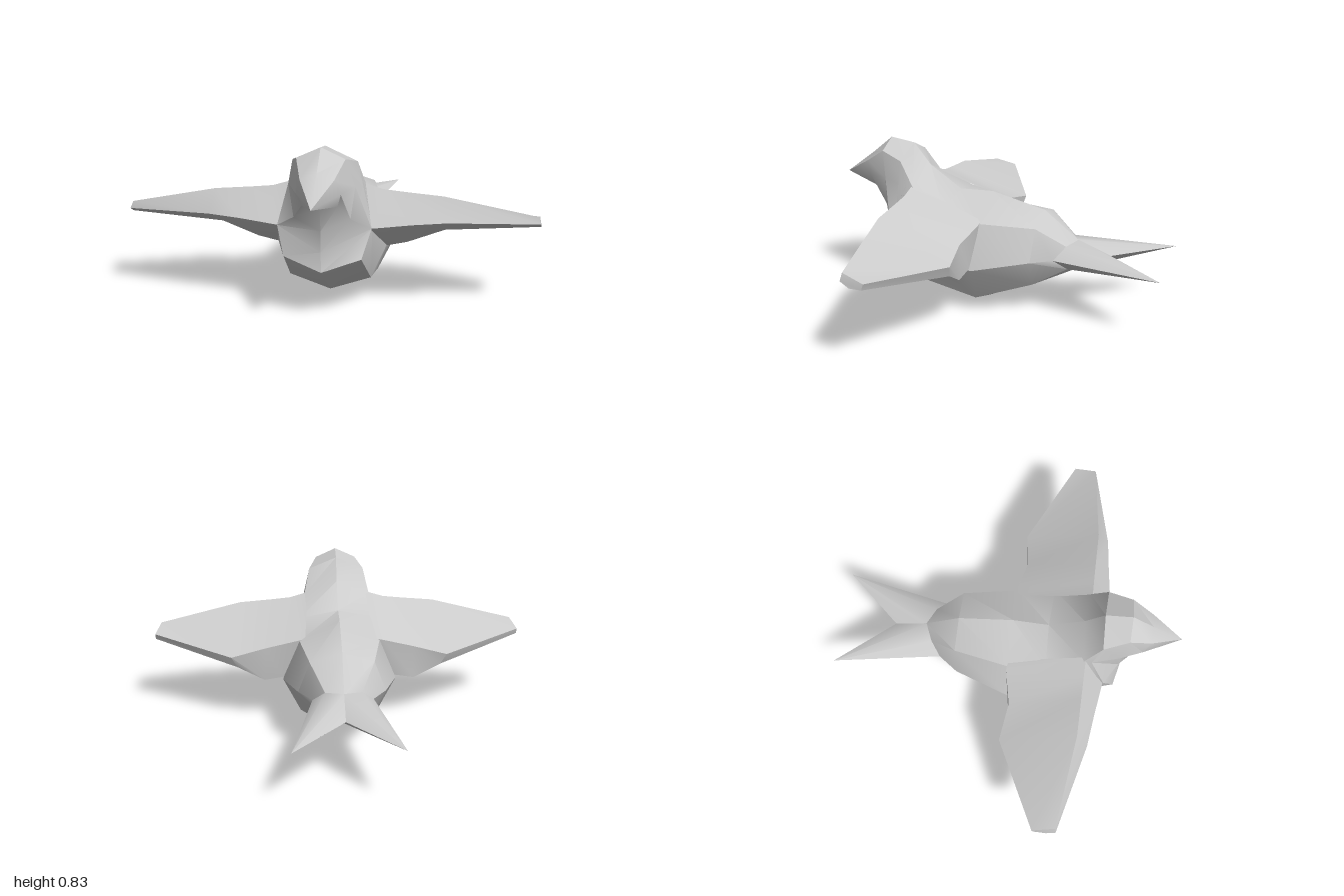
import * as THREE from 'three';
import { toCreasedNormals } from 'three/addons/utils/BufferGeometryUtils.js';

// Skin a list of rings; each ring runs counterclockwise seen from the first one
function loft(rings, capEnd = false) {
  const pos = [];
  const vec = (p) => new THREE.Vector3(...p);
  const tri = (a, b, c) => {
    const n = vec(b).sub(vec(a)).cross(vec(c).sub(vec(a)));
    if (n.length() > 1e-7) pos.push(...a, ...b, ...c);
  };
  for (let i = 0; i < rings.length - 1; i++) {
    const A = rings[i], B = rings[i + 1];
    for (let j = 0; j < A.length; j++) {
      const k = (j + 1) % A.length;
      tri(A[j], B[j], A[k]);
      tri(A[k], B[j], B[k]);
    }
  }
  if (capEnd) {
    const E = rings[rings.length - 1];
    for (let j = 1; j < E.length - 1; j++) tri(E[0], E[j + 1], E[j]);
  }
  const g = new THREE.BufferGeometry();
  g.setAttribute('position', new THREE.Float32BufferAttribute(pos, 3));
  return toCreasedNormals(g, 0.62);
}

const flip = ([x, y, z]) => [-x, y, z];
const mirrorRing = (ring) => ring.map(flip).reverse();

// Half sections of the body: keel, low, side, upper, ridge
const tip = [0, 0.62, 0.88];
const bodyHalves = [
  [tip, tip, tip, tip, tip],
  [[0, 0.56, 0.65], [0.08, 0.575, 0.655], [0.1, 0.64, 0.69], [0.075, 0.71, 0.72], [0, 0.74, 0.72]],
  [[0, 0.45, 0.63], [0.13, 0.5, 0.59], [0.15, 0.65, 0.58], [0.11, 0.78, 0.61], [0, 0.83, 0.61]],
  [[0, 0.35, 0.63], [0.22, 0.44, 0.53], [0.18, 0.62, 0.45], [0.15, 0.745, 0.49], [0, 0.81, 0.48]],
  [[0, 0.25, 0.625], [0.18, 0.31, 0.59], [0.22, 0.44, 0.5], [0.18, 0.62, 0.41], [0, 0.7, 0.39]],
  [[0, 0.06, 0.34], [0.2, 0.13, 0.34], [0.27, 0.28, 0.28], [0.21, 0.54, 0.23], [0, 0.585, 0.22]],
  [[0, 0, 0.06], [0.21, 0.075, 0.06], [0.3, 0.26, 0.05], [0.21, 0.48, 0.04], [0, 0.59, 0.04]],
  [[0, 0.12, -0.22], [0.14, 0.16, -0.22], [0.22, 0.31, -0.23], [0.16, 0.47, -0.24], [0, 0.52, -0.24]],
  [[0, 0.23, -0.43], [0.09, 0.25, -0.39], [0.15, 0.31, -0.33], [0.09, 0.37, -0.38], [0, 0.38, -0.42]],
];

// Wing sections from root to tip: lead, crest, trailing top, trailing bottom, under
const wingRings = [
  [[0.18, 0.44, 0.525], [0.16, 0.63, 0.42], [0.18, 0.49, 0.04], [0.24, 0.27, 0.06], [0.22, 0.28, 0.28]],
  [[0.23, 0.44, 0.525], [0.26, 0.6, 0.42], [0.23, 0.48, 0.035], [0.3, 0.27, 0.06], [0.28, 0.28, 0.28]],
  [[0.4, 0.455, 0.5], [0.36, 0.59, 0.42], [0.39, 0.43, 0.07], [0.4, 0.25, 0.07], [0.37, 0.3, 0.28]],
  [[0.56, 0.465, 0.48], [0.54, 0.575, 0.42], [0.57, 0.39, 0.045], [0.54, 0.33, 0.06], [0.55, 0.37, 0.28]],
  [[0.99, 0.445, 0.375], [0.975, 0.48, 0.37], [0.995, 0.45, 0.26], [0.995, 0.42, 0.27], [0.995, 0.42, 0.33]],
];

export function createModel() {
  const group = new THREE.Group();
  const material = new THREE.MeshStandardMaterial({ color: 0xcccccc });
  const add = (name, geometry) => {
    const mesh = new THREE.Mesh(geometry, material);
    mesh.name = name;
    group.add(mesh);
  };

  // Beak, head and torso in one skin
  add('body', loft(bodyHalves.map((h) => [...h, ...h.slice(1, 4).reverse().map(flip)])));

  // Forked tail: each fork tapers from half the rump to a point
  const rump = [...bodyHalves[bodyHalves.length - 1], [0, 0.315, -0.59]];
  const tailRings = [rump, rump.map(() => [0.25, 0.315, -0.88])];

  for (const [side, fit] of [['left', (r) => r], ['right', mirrorRing]]) {
    add(side + 'Wing', loft(wingRings.map(fit), true));
    add(side + 'TailFork', loft(tailRings.map(fit)));
  }
  return group;
}
